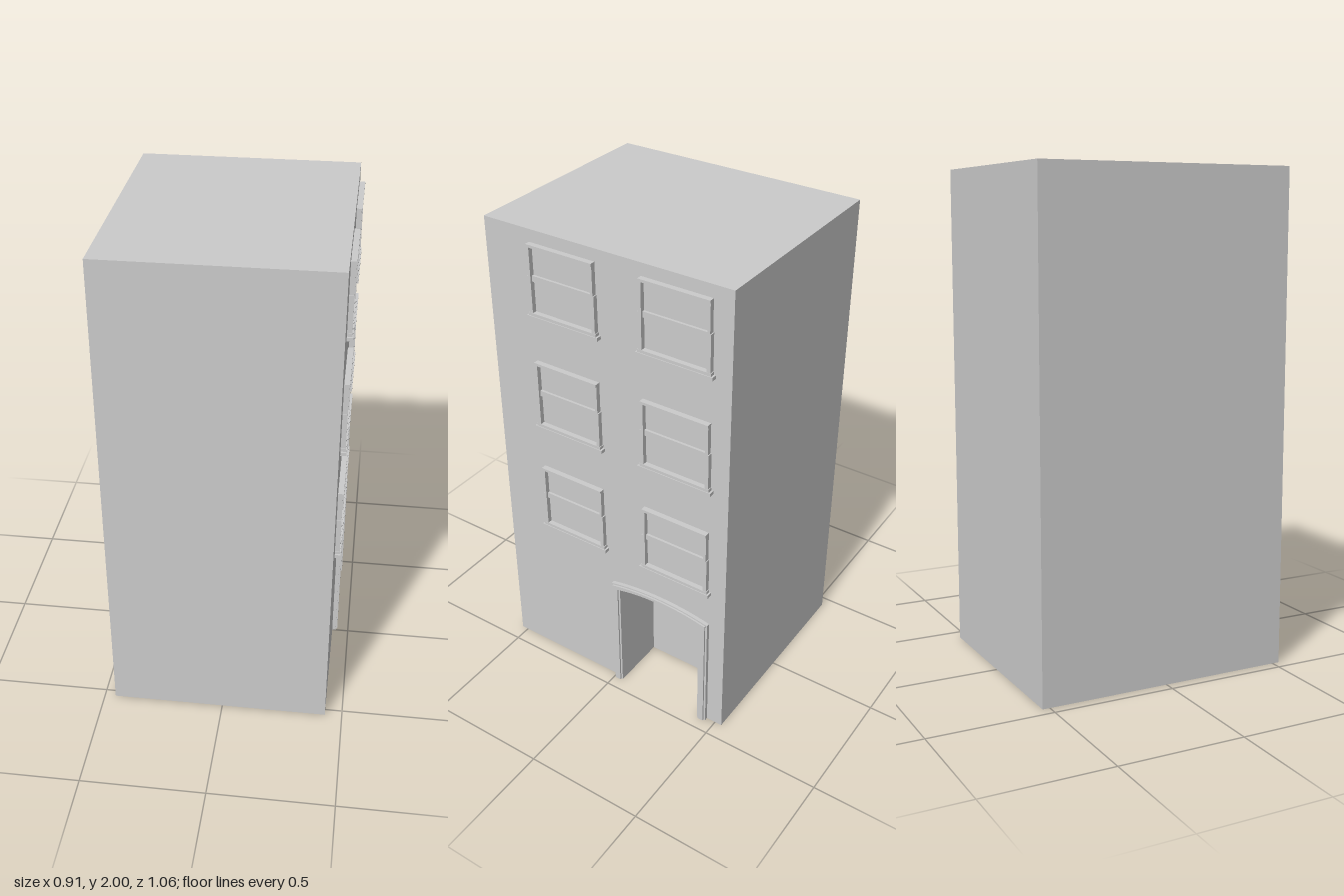
import * as THREE from 'three';
import { toCreasedNormals } from 'three/addons/utils/BufferGeometryUtils.js';

const WALL = 0.43, BACK = -0.455, HALF = 0.53, TOP = 2, RECESS = 0.21, DOOR_U = 0.23;
const grey = new THREE.MeshStandardMaterial({ color: 0xcccccc });

// Box given by its limits
function block(name, x0, x1, y0, y1, z0, z1) {
  const mesh = new THREE.Mesh(new THREE.BoxGeometry(x1 - x0, y1 - y0, z1 - z0), grey);
  mesh.position.set((x0 + x1) / 2, (y0 + y1) / 2, (z0 + z1) / 2);
  mesh.name = name;
  return mesh;
}

// Doorway outline with a shallow arched head, from foot to foot (u runs along -z)
function archPoints(half, spring, rise, segments = 16) {
  const r = (half * half + rise * rise) / (2 * rise);
  const a = Math.asin(half / r);
  const pts = [new THREE.Vector2(DOOR_U - half, 0)];
  for (let i = 0; i <= segments; i++) {
    const t = -a + (2 * a * i) / segments;
    pts.push(new THREE.Vector2(DOOR_U + r * Math.sin(t), spring + rise - r + r * Math.cos(t)));
  }
  pts.push(new THREE.Vector2(DOOR_U + half, 0));
  return pts;
}

// Extrude a (u, y) outline along +x
function extrudeX(name, points, x0, x1) {
  const geo = new THREE.ExtrudeGeometry(new THREE.Shape(points), { depth: x1 - x0, bevelEnabled: false });
  geo.rotateY(Math.PI / 2).translate(x0, 0, 0);
  const mesh = new THREE.Mesh(toCreasedNormals(geo, 0.5), grey);
  mesh.name = name;
  return mesh;
}

// Sash window centred on z with its sill at y
function sashWindow(y, z) {
  const g = new THREE.Group();
  g.name = 'window';
  const x0 = WALL - 0.005, front = 0.449, rail = y + 0.15;
  g.add(block('sill', x0, 0.453, y, y + 0.014, z - 0.16, z + 0.16));
  g.add(block('sillTop', x0, 0.45, y + 0.014, y + 0.026, z - 0.152, z + 0.152));
  g.add(block('head', x0, 0.452, y + 0.289, y + 0.3, z - 0.145, z + 0.145));
  g.add(block('meetingRail', x0, 0.44, rail, rail + 0.024, z - 0.14, z + 0.14));
  for (const s of [-1, 1]) {
    // the lower half of each jamb stands slightly wider
    const span = (a, b) => [Math.min(s * a, s * b) + z, Math.max(s * a, s * b) + z];
    g.add(block('upperJamb', x0, front, rail + 0.024, y + 0.289, ...span(0.134, 0.145)));
    g.add(block('lowerJamb', x0, front, y + 0.026, rail + 0.024, ...span(0.134, 0.149)));
  }
  return g;
}

export function createModel() {
  const model = new THREE.Group();
  model.name = 'building';

  // Main body, and the street wall with the doorway cut through it
  model.add(block('body', BACK, RECESS, 0, TOP, -HALF, HALF));
  const opening = archPoints(0.19, 0.505, 0.025);
  const V = (u, y) => new THREE.Vector2(u, y);
  model.add(extrudeX('streetWall',
    [V(-HALF, 0), ...opening, V(HALF, 0), V(HALF, TOP), V(-HALF, TOP)], RECESS, WALL));

  // Door surround in two steps
  const surround = (name, inHalf, inY, outHalf, outY, x0, x1) =>
    model.add(extrudeX(name,
      [...archPoints(outHalf, outY, 0.025), ...archPoints(inHalf, inY, 0.025).reverse()], x0, x1));
  surround('doorSurround', 0.19, 0.505, 0.23, 0.527, WALL - 0.005, 0.445);
  surround('doorMoulding', 0.198, 0.51, 0.222, 0.522, 0.44, 0.452);

  // Three storeys of paired windows
  for (const y of [0.678, 1.164, 1.65]) {
    for (const z of [0.18, -0.305]) model.add(sashWindow(y, z));
  }
  return model;
}
